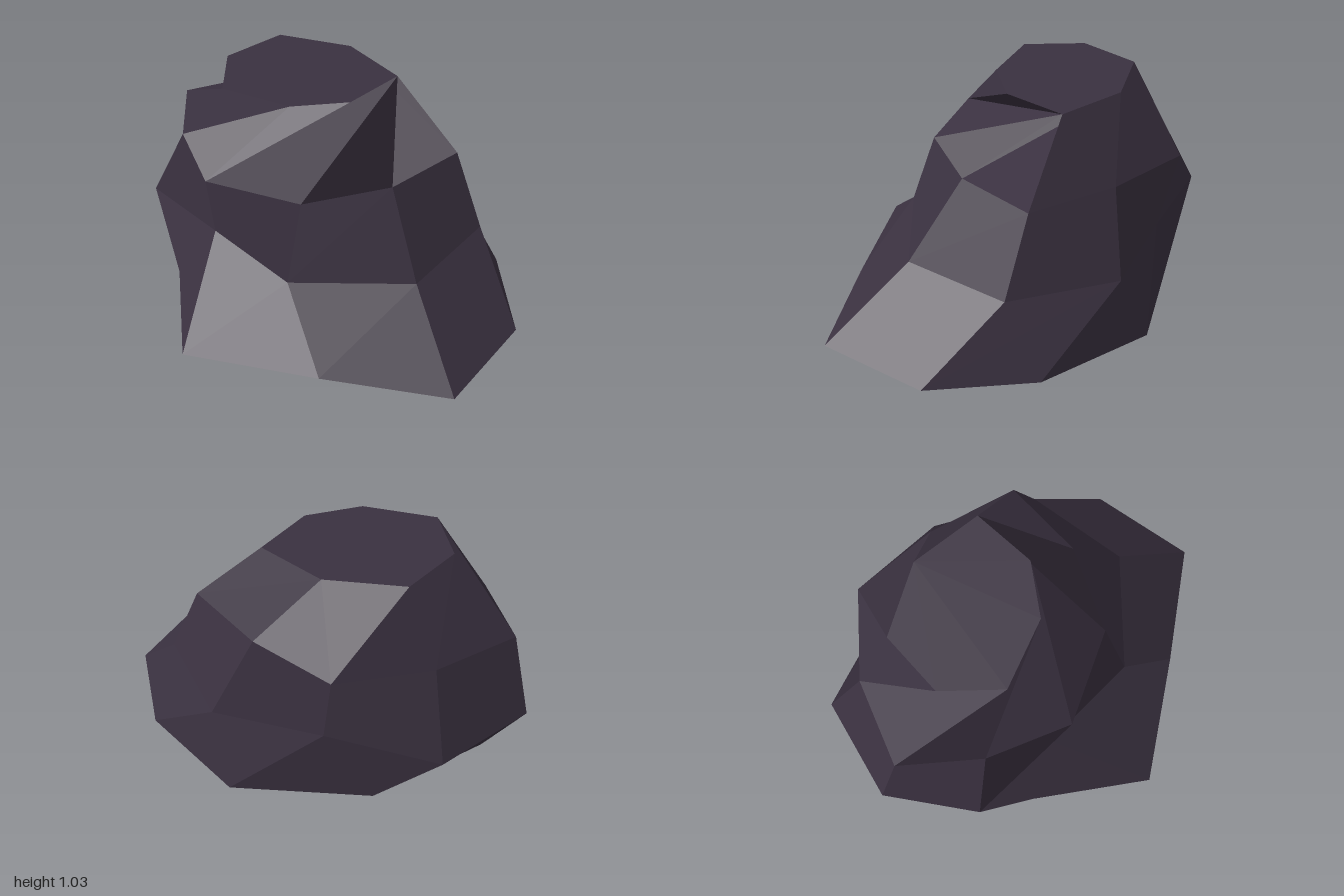
import * as THREE from 'three';

// Cross-sections of the rock, nine corners each as [x, z], from the front round by -x
const layers = [
  { y: 0, pts: [[0.25, 0.69], [-0.4, 0.795], [-0.7, 0.28], [-0.81, -0.25], [-0.37, -0.7], [0.28, -0.795], [0.77, -0.44], [1, 0.03], [0.86, 0.57]] },
  { y: 0.34, pts: [[0.01, 0.49], [-0.47, 0.28], [-0.91, 0.09], [-1, -0.37], [-0.68, -0.78], [-0.145, -0.72], [0.38, -0.68], [0.71, -0.25], [0.56, 0.27]] },
  { y: 0.705, pts: [[0.025, 0.36], [-0.45, 0.37], [-0.735, 0.065], [-0.91, -0.3], [-0.605, -0.605], [-0.195, -0.795], [0.2, -0.59], [0.55, -0.3], [0.36, 0.08]] },
];
// Flat crown, seven corners
const crown = { y: 1.03, pts: [[0.22, -0.34], [0.1, -0.04], [-0.14, 0.1], [-0.49, 0.08], [-0.605, -0.2], [-0.457, -0.49], [-0.09, -0.52]] };

// Facets joining the upper section (capitals) to the crown (small letters)
const shoulderFacets = ['BAab', 'BbcC', 'CcdD', 'EDde', 'EefF', 'FfgG', 'HGga', 'HagI', 'IgaA'];

const toVectors = ({ y, pts }) => pts.map(([x, z]) => new THREE.Vector3(x, y, z));

// Four-cornered facets between two sections
function band(lower, upper) {
  return lower.map((corner, i) => {
    const next = (i + 1) % lower.length;
    return [lower[next], corner, upper[i], upper[next]];
  });
}

// Each facet is a fan of triangles sharing one averaged normal
function facetGeometry(facets) {
  const points = [], normals = [];
  for (const f of facets) {
    const normal = new THREE.Vector3();
    for (let k = 1; k < f.length - 1; k++) {
      points.push(f[0], f[k], f[k + 1]);
      normal.add(f[k].clone().sub(f[0]).cross(f[k + 1].clone().sub(f[0])));
    }
    normal.normalize();
    for (let k = 0; k < (f.length - 2) * 3; k++) normals.push(normal.x, normal.y, normal.z);
  }
  const geometry = new THREE.BufferGeometry().setFromPoints(points);
  geometry.setAttribute('normal', new THREE.Float32BufferAttribute(normals, 3));
  return geometry;
}

export function createModel() {
  const group = new THREE.Group();
  group.name = 'rock';
  const stone = new THREE.MeshStandardMaterial({ color: 0x3a3140 });
  stone.name = 'dark stone';

  const [base, middle, upper] = layers.map(toVectors);
  const top = toVectors(crown);
  const corner = (c) => (c < 'a' ? upper[c.charCodeAt(0) - 65] : top[c.charCodeAt(0) - 97]);

  const parts = {
    underside: [base],
    foot: band(base, middle),
    body: band(middle, upper),
    shoulder: shoulderFacets.map((f) => [...f].map(corner)),
    crown: [[...top].reverse()],
  };
  for (const [name, facets] of Object.entries(parts)) {
    const mesh = new THREE.Mesh(facetGeometry(facets), stone);
    mesh.name = name;
    group.add(mesh);
  }
  return group;
}
